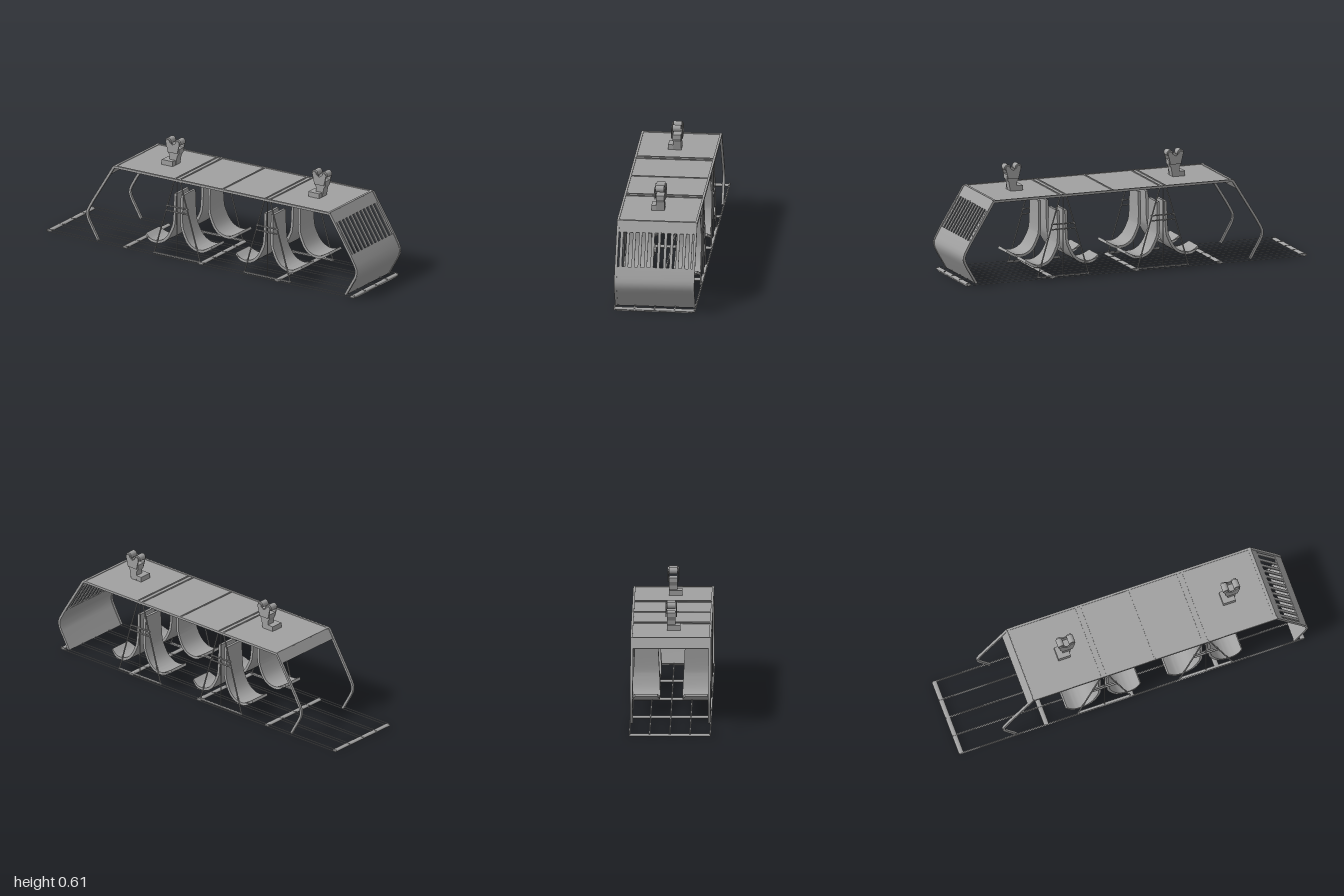
import * as THREE from 'three';
import { toCreasedNormals } from 'three/addons/utils/BufferGeometryUtils.js';

const grey = new THREE.MeshStandardMaterial({ color: 0xa0a0a0 });
grey.name = 'grey metal';
const MID = 0.125; // the cabin is symmetric about this x

export function createModel() {
  const root = new THREE.Group();
  root.name = 'openCabin';

  const add = (name, geometry, x = 0, y = 0, z = 0, parent = root) => {
    const mesh = new THREE.Mesh(geometry, grey);
    mesh.name = name;
    mesh.position.set(x, y, z);
    parent.add(mesh);
    return mesh;
  };
  const box = (name, w, h, d, x, y, z, parent) =>
    add(name, new THREE.BoxGeometry(w, h, d), x, y, z, parent);

  // Extrusion along z, centred on z = 0
  const extrude = (shape, depth, steps = 1) => {
    const g = new THREE.ExtrudeGeometry(shape, { depth, steps, bevelEnabled: false, curveSegments: 12 });
    return g.translate(0, 0, -depth / 2);
  };
  // Bent sheet: side outline of constant thickness, extruded to a width
  const sheet = (points, thickness, width) => {
    const p = points.map(([x, y]) => new THREE.Vector2(x, y));
    const left = [], right = [];
    p.forEach((q, i) => {
      const t = p[Math.min(i + 1, p.length - 1)].clone().sub(p[Math.max(i - 1, 0)]).normalize();
      const n = new THREE.Vector2(-t.y, t.x).multiplyScalar(thickness / 2);
      left.push(q.clone().add(n));
      right.push(q.clone().sub(n));
    });
    return toCreasedNormals(extrude(new THREE.Shape([...left, ...right.reverse()]), width), 0.6);
  };
  // Straight round bar between two points
  const bar = (name, a, b, r) => {
    const from = new THREE.Vector3(...a), dir = new THREE.Vector3(...b).sub(from);
    const mesh = add(name, new THREE.CylinderGeometry(r, r, dir.length(), 8));
    mesh.position.copy(from).addScaledVector(dir, 0.5);
    mesh.quaternion.setFromUnitVectors(new THREE.Vector3(0, 1, 0), dir.normalize());
    return mesh;
  };

  // Roof panel, side rails and ribs
  box('roofPanel', 1.38, 0.008, 0.42, MID, 0.456, 0);
  for (const z of [-0.212, 0.212]) box('roofRail', 1.39, 0.013, 0.012, MID, 0.4565, z);
  for (const x of [-0.18, -0.15, 0.125, 0.4, 0.43]) box('roofRib', 0.008, 0.012, 0.42, x, 0.458, 0);
  for (const x of [-0.562, 0.812]) box('roofEndRib', 0.014, 0.012, 0.42, x, 0.457, 0);

  // Bent end posts and sloping headers at both ends
  const bend = [[0.955, 0.238], [0.982, 0.19], [0.99, 0.17], [0.991, 0.152], [0.986, 0.132], [0.975, 0.11]];
  const mirror = (pts, s) => pts.map(([x, y]) => [MID + s * (x - MID), y]);
  for (const s of [1, -1]) {
    const post = mirror([[0.818, 0.459], ...bend, [0.92, 0.015]], s);
    for (const z of [-0.21, 0.21]) add('endPost', sheet(post, 0.013, 0.014), 0, 0, z);
    add('endHeader', sheet(mirror([[0.818, 0.459], [0.85, 0.407]], s), 0.008, 0.41));
  }

  // Closed end: curved lower panel and window slats
  add('endPanel', sheet([[0.951, 0.245], ...bend, [0.92, 0.015]], 0.008, 0.41));
  for (let i = 0; i < 12; i++) {
    add('windowSlat', sheet([[0.849, 0.411], [0.951, 0.245]], 0.006, 0.016), 0, 0, (i - 5.5) * 0.034);
  }
  bar('slatRail', [0.849, 0.408, -0.2], [0.849, 0.408, 0.2], 0.004);

  // Floor: oval cross bars and slender rods made of paired strips
  for (let i = 0; i < 5; i++) {
    const oval = new THREE.CylinderGeometry(1, 1, 0.43, 16).rotateX(Math.PI / 2).scale(0.014, 0.008, 1);
    add('floorCrossBar', oval, -0.985 + i * 0.4875, 0.011, 0);
  }
  for (let i = -2; i <= 2; i++) {
    for (const y of [0.007, 0.02]) box('floorRodStrip', 1.97, 0.0015, 0.006, -0.01, y, i * 0.1085);
    for (const x of [-0.996, 0.976]) box('floorRodEnd', 0.004, 0.014, 0.006, x, 0.0135, i * 0.1085);
  }
  box('endSill', 0.02, 0.014, 0.41, 0.965, 0.007, 0);

  // Seat: curved shell, narrower at the top of the backrest
  const seatCurve = new THREE.SplineCurve([
    [0.022, 0.372], [0.024, 0.22], [0.038, 0.165], [0.07, 0.11], [0.115, 0.082], [0.165, 0.081], [0.212, 0.106],
  ].map(([x, y]) => new THREE.Vector2(x, y)));
  const seatGeometry = (s) => {
    const pts = seatCurve.getPoints(28).map((p) => [p.x * s, p.y]);
    const g = sheet(pts, 0.015, 0.15);
    const p = g.attributes.position;
    for (let i = 0; i < p.count; i++) {
      const back = Math.min(1, Math.max(0, (p.getY(i) - 0.1) / 0.27));
      const lip = Math.max(0, (Math.abs(p.getX(i)) - 0.16) / 0.055);
      p.setZ(i, p.getZ(i) * (1 - 0.18 * back - 0.2 * lip * lip));
    }
    return toCreasedNormals(g, 0.6);
  };

  // A-frames on each side with back-to-back seats
  for (const cx of [-0.165, 0.415]) {
    for (const z of [-0.21, 0.21]) {
      for (const s of [-1, 1]) bar('frameLeg', [cx + s * 0.018, 0.455, z], [cx + s * 0.148, 0.015, z], 0.004);
      bar('frameCentrePost', [cx, 0.455, z], [cx, 0.015, z], 0.003);
      box('frameBase', 0.305, 0.008, 0.01, cx, 0.016, z);
      for (const y of [0.273, 0.301]) box('frameTie', 0.14, 0.006, 0.008, cx, y, z);
    }
    for (const s of [-1, 1]) {
      for (const z of [-0.135, 0.135]) add('seat', seatGeometry(s), cx, 0, z);
    }
  }

  // Roof hangers: foot, flared column, forked side plates and rollers
  const column = new THREE.Shape([
    [-0.022, 0.463], [0.016, 0.463], [0.024, 0.51], [0.036, 0.53], [0.036, 0.553], [-0.036, 0.553], [-0.036, 0.53], [-0.024, 0.51],
  ].map(([x, y]) => new THREE.Vector2(x, y)));
  const plate = new THREE.Shape();
  plate.moveTo(-0.03, 0.53);
  plate.lineTo(0.03, 0.53);
  plate.lineTo(0.044, 0.585);
  plate.absarc(0.031, 0.588, 0.013, 0, Math.PI, false);
  plate.lineTo(0, 0.575);
  plate.absarc(-0.031, 0.588, 0.013, 0, Math.PI, false);
  plate.closePath();
  for (const x of [-0.313, 0.63]) {
    const hanger = new THREE.Group();
    hanger.name = 'roofHanger';
    hanger.position.x = x;
    root.add(hanger);
    box('hangerFoot', 0.07, 0.028, 0.071, -0.022, 0.474, 0.0135, hanger);
    add('hangerColumn', extrude(column, 0.045), 0, 0, 0, hanger);
    for (const z of [-0.028, 0.028]) add('hangerPlate', extrude(plate, 0.006), 0, 0, z, hanger);
    for (const rx of [-0.031, 0.031]) {
      const roller = new THREE.CylinderGeometry(0.018, 0.018, 0.046, 20).rotateX(Math.PI / 2);
      add('hangerRoller', roller, rx, 0.591, 0, hanger);
    }
  }
  return root;
}
